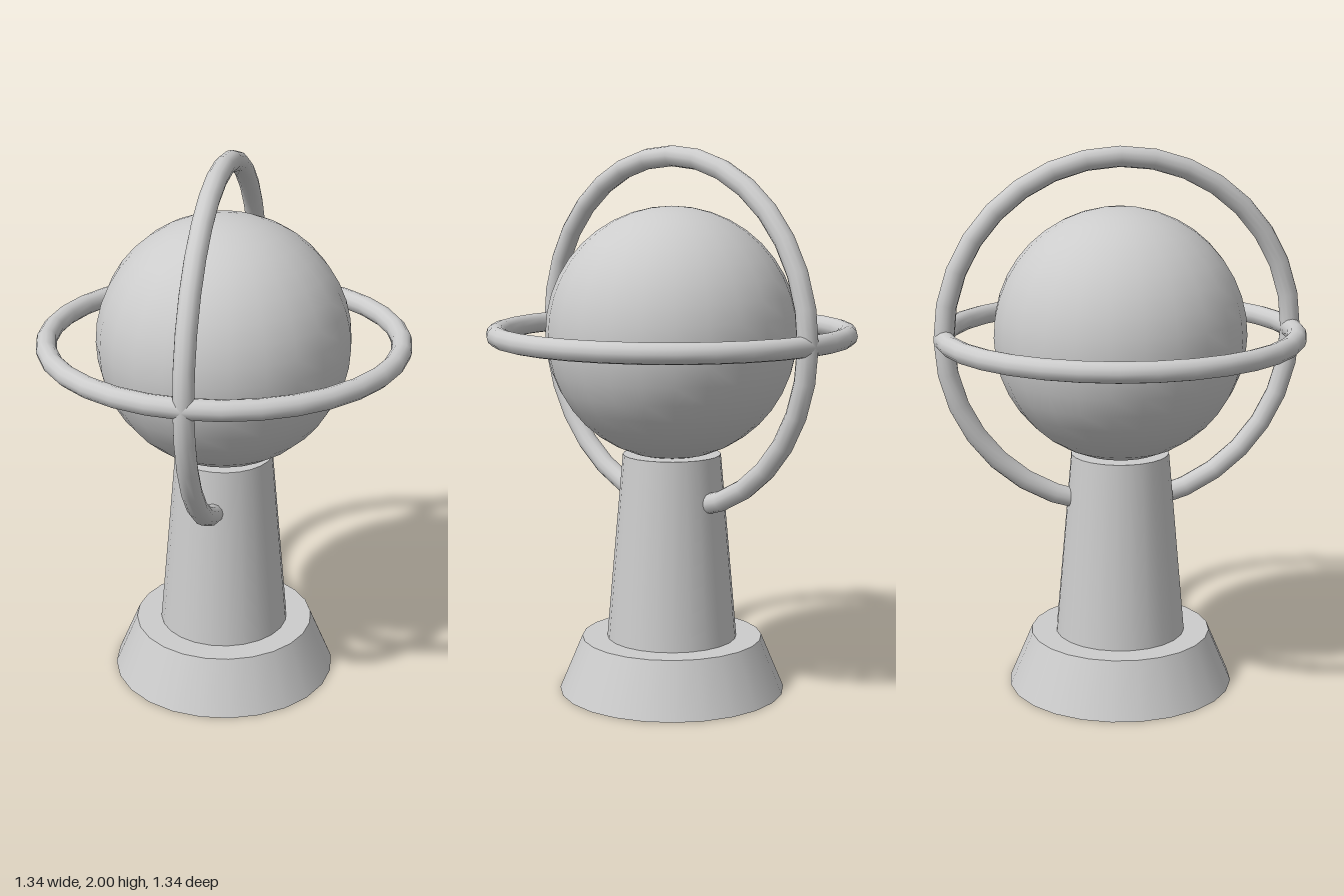
import * as THREE from 'three';

export function createModel() {
  const group = new THREE.Group();
  const grey = new THREE.MeshStandardMaterial({ color: 0xcccccc });
  grey.name = 'light grey';

  const add = (name, geometry, y) => {
    const mesh = new THREE.Mesh(geometry, grey);
    mesh.name = name;
    mesh.position.y = y;
    group.add(mesh);
    return mesh;
  };

  const centreY = 1.328;

  // Flared foot and tapered column
  add('base', new THREE.CylinderGeometry(0.333, 0.417, 0.2, 24), 0.1);
  add('column', new THREE.CylinderGeometry(0.18, 0.24, 0.685, 24), 0.2 + 0.685 / 2);

  // Globe resting on the column
  add('globe', new THREE.SphereGeometry(0.458, 24, 20), centreY);

  // Two crossing rings: one level, one upright running front to back
  const ringGeometry = new THREE.TorusGeometry(0.635, 0.037, 12, 32);
  add('horizontalRing', ringGeometry, centreY).rotation.x = Math.PI / 2;
  add('verticalRing', ringGeometry, centreY).rotation.y = Math.PI / 2;

  return group;
}
